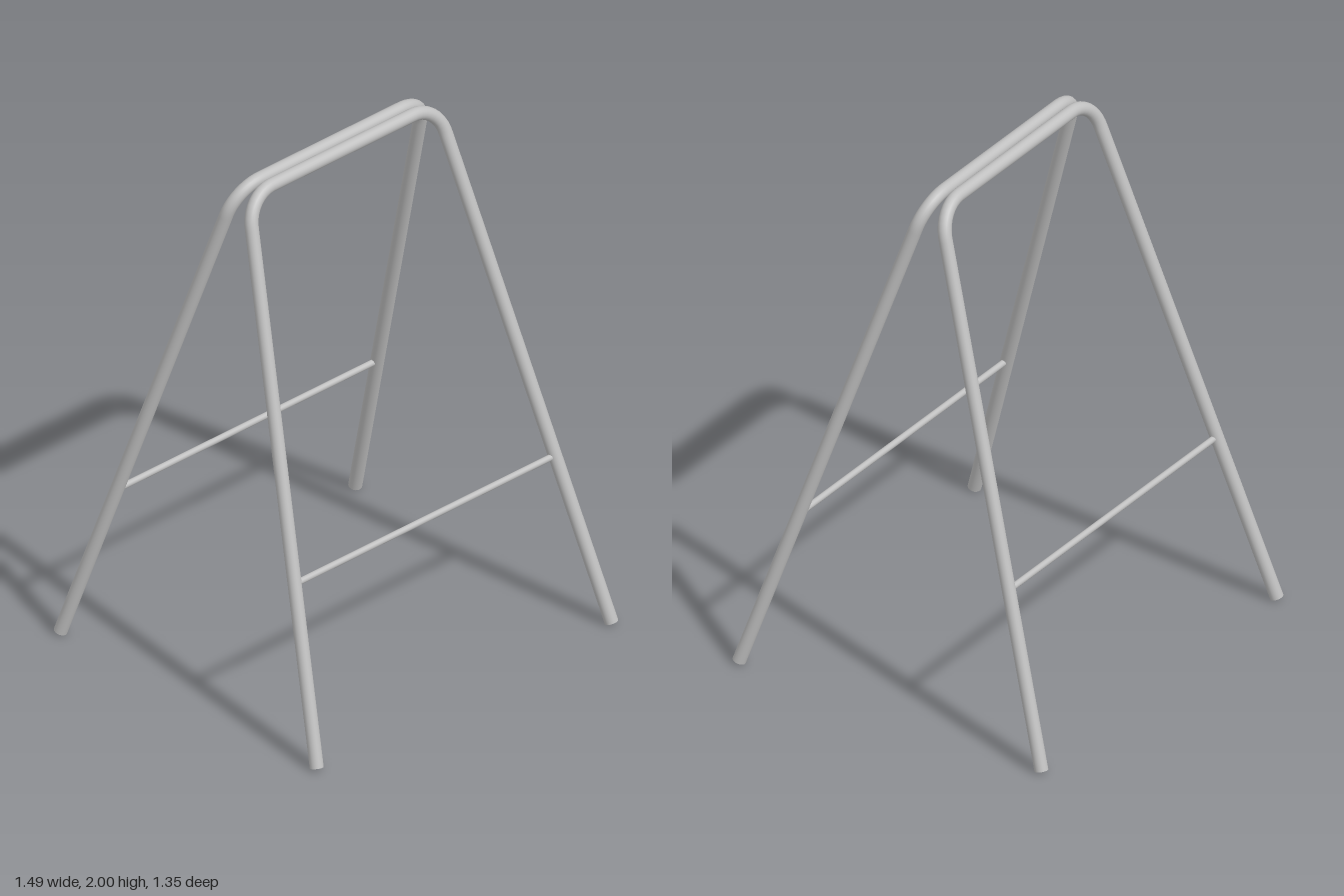
import * as THREE from 'three';

const R = 0.025; // main tube radius
const FOOT = new THREE.Vector3(0.72, 0.008, 0.65);
const CORNER = new THREE.Vector3(0.459, 1.975, 0.03); // where leg and top bar would meet
const BEND = 0.115; // length taken up by each rounded corner

const flip = (v) => new THREE.Vector3(-v.x, v.y, v.z);

// Centre line: up one leg, round the corner, along the top and down again
function framePath() {
  const legDir = FOOT.clone().sub(CORNER).normalize();
  const barDir = new THREE.Vector3(-1, 0, 0);
  const along = (dir, d) => CORNER.clone().addScaledVector(dir, d);
  const a = along(legDir, BEND), b = along(legDir, BEND * 0.427);
  const c = along(barDir, BEND * 0.427), d = along(barDir, BEND);

  const path = new THREE.CurvePath();
  path.add(new THREE.LineCurve3(FOOT, a));
  path.add(new THREE.CubicBezierCurve3(a, b, c, d));
  path.add(new THREE.LineCurve3(d, flip(d)));
  path.add(new THREE.CubicBezierCurve3(flip(d), flip(c), flip(b), flip(a)));
  path.add(new THREE.LineCurve3(flip(a), flip(FOOT)));
  return { path, legDir };
}

function makeFrame(metal) {
  const frame = new THREE.Group();
  const { path, legDir } = framePath();

  const tube = new THREE.Mesh(new THREE.TubeGeometry(path, 240, R, 20), metal);
  tube.name = 'legFrame';
  frame.add(tube);

  // Flat ends closing the feet
  for (const side of [1, -1]) {
    const cap = new THREE.Mesh(new THREE.CircleGeometry(R, 20), metal);
    const dir = side > 0 ? legDir : flip(legDir);
    cap.position.copy(side > 0 ? FOOT : flip(FOOT));
    cap.quaternion.setFromUnitVectors(new THREE.Vector3(0, 0, 1), dir);
    cap.name = side > 0 ? 'leftFootEnd' : 'rightFootEnd';
    frame.add(cap);
  }

  // Thin cross rung between the legs
  const p = FOOT.clone().lerp(CORNER, (0.64 - FOOT.y) / (CORNER.y - FOOT.y));
  const rung = new THREE.Mesh(new THREE.CylinderGeometry(0.012, 0.012, 2 * p.x, 16), metal);
  rung.rotation.z = Math.PI / 2;
  rung.position.set(0, p.y, p.z);
  rung.name = 'crossRung';
  frame.add(rung);
  return frame;
}

export function createModel() {
  const model = new THREE.Group();
  model.name = 'trestle';
  const metal = new THREE.MeshStandardMaterial({ color: 0xc0c0c0 });
  metal.name = 'light grey metal';

  const front = makeFrame(metal);
  front.name = 'frontFrame';
  const back = makeFrame(metal);
  back.name = 'backFrame';
  back.rotation.y = Math.PI;
  model.add(front, back);
  return model;
}
